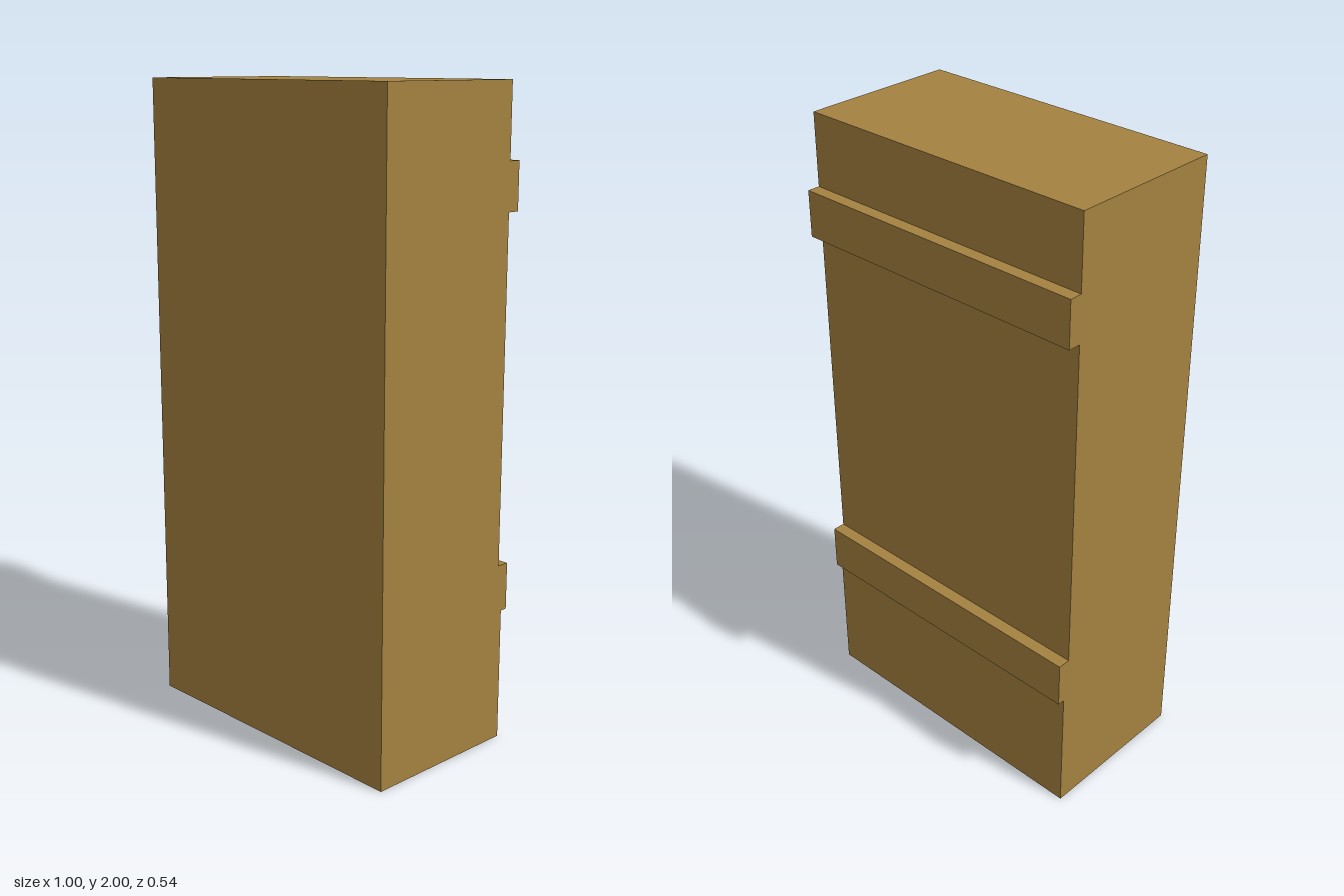
import * as THREE from 'three';

const WIDTH = 1.0;
const FRONT = 0.27, BACK = -0.23, BASE_BACK = -0.247, RAIL_BACK = -0.27;

export function createModel() {
  const model = new THREE.Group();
  model.name = 'panelBlock';

  const ochre = new THREE.MeshStandardMaterial({ color: 0xa48140 });
  ochre.name = 'ochre';

  // Side profile (z, y): flat front, stepped base and two rails on the back
  const profile = new THREE.Shape([
    [FRONT, 0], [FRONT, 2], [BACK, 2],
    [BACK, 1.775], [RAIL_BACK, 1.775], [RAIL_BACK, 1.63], [BACK, 1.63], // upper rail
    [BACK, 0.565], [RAIL_BACK, 0.565], [RAIL_BACK, 0.417], [BASE_BACK, 0.417], // lower rail
    [BASE_BACK, 0], // thicker base
  ].map(([z, y]) => new THREE.Vector2(z, y)));

  // Sweep the profile across the full width
  const geometry = new THREE.ExtrudeGeometry(profile, { depth: WIDTH, bevelEnabled: false });
  geometry.rotateY(-Math.PI / 2);
  geometry.translate(WIDTH / 2, 0, 0);

  const body = new THREE.Mesh(geometry, ochre);
  body.name = 'bodyWithBackRails';
  model.add(body);
  return model;
}
